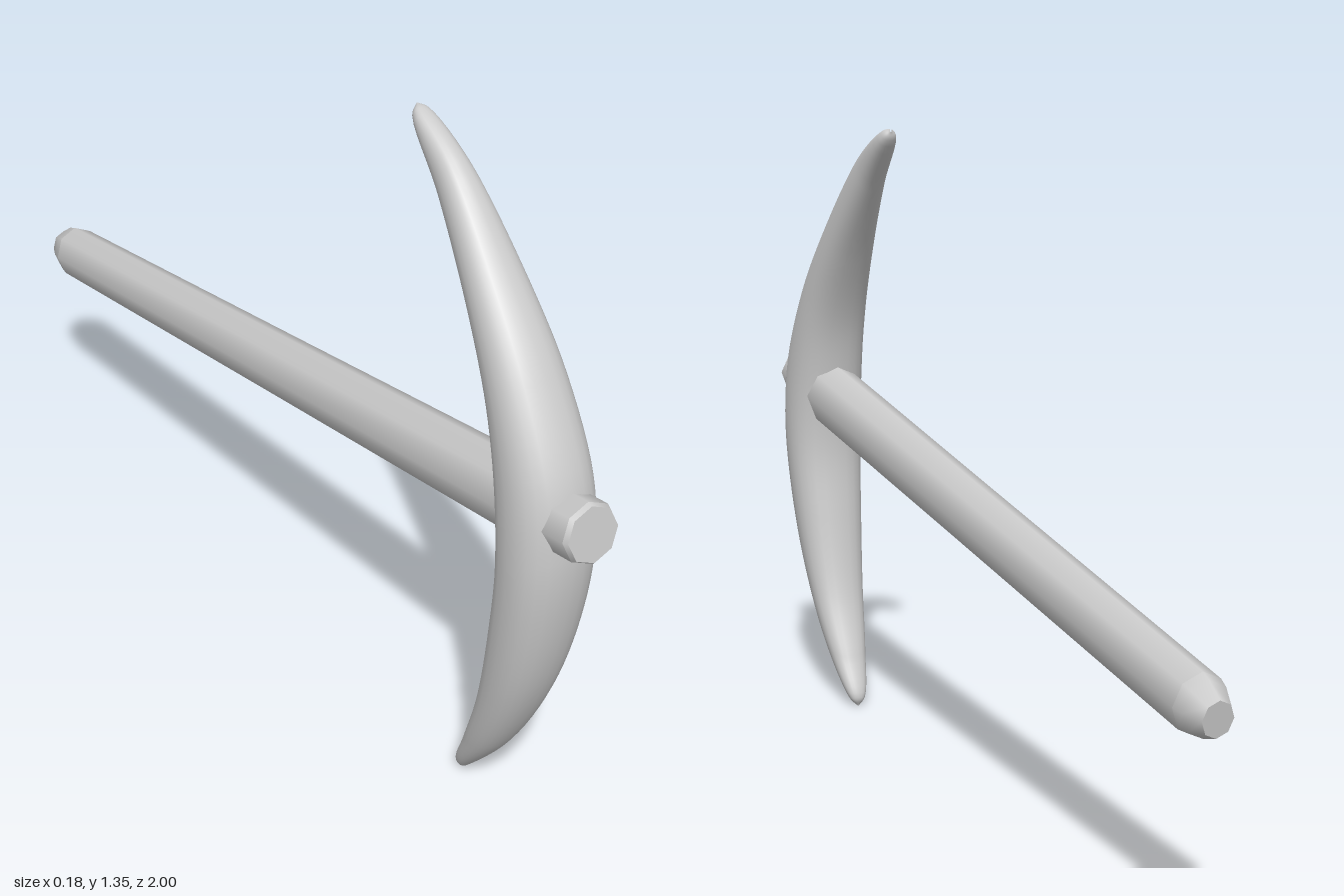
import * as THREE from 'three';
import { ParametricGeometry } from 'three/addons/geometries/ParametricGeometry.js';

const material = new THREE.MeshStandardMaterial({ color: 0xcccccc });
const TILT = 0.16;

// Octagonal turned part laid along the handle axis; repeated points keep a crease
function turned(name, profile, widthScale = 1) {
  const geometry = new THREE.LatheGeometry(profile.map(([r, y]) => new THREE.Vector2(r, y)), 8);
  geometry.scale(widthScale, 1, 1);
  geometry.rotateX(Math.PI / 2 - TILT);
  geometry.translate(0, 0.591, 0);
  const mesh = new THREE.Mesh(geometry, material);
  mesh.name = name;
  return mesh;
}

// Curved double-pointed head: [half width, outer y, outer z, inner y, inner z] from top to bottom
function pickHead() {
  const stations = [
    [0.002, 1.353, 0.435, 1.347, 0.433],
    [0.017, 1.351, 0.455, 1.328, 0.438],
    [0.035, 1.294, 0.567, 1.21, 0.54],
    [0.06, 1.128, 0.727, 1.037, 0.663],
    [0.076, 0.985, 0.838, 0.888, 0.738],
    [0.086, 0.807, 0.93, 0.754, 0.77],
    [0.088, 0.674, 0.947, 0.594, 0.786],
    [0.081, 0.513, 0.93, 0.433, 0.77],
    [0.065, 0.326, 0.877, 0.246, 0.733],
    [0.044, 0.139, 0.78, 0.112, 0.684],
    [0.018, 0.016, 0.677, 0.022, 0.648],
    [0.002, 0.001, 0.66, 0.001, 0.656],
  ];
  const outer = new THREE.CatmullRomCurve3(stations.map(([w, y, z]) => new THREE.Vector3(w, y, z)));
  const inner = new THREE.CatmullRomCurve3(stations.map(([w, , , y, z]) => new THREE.Vector3(w, y, z)));
  const o = new THREE.Vector3(), i = new THREE.Vector3();
  const round = (t) => Math.sign(t) * Math.abs(t) ** 0.88;

  const geometry = new ParametricGeometry((u, v, target) => {
    outer.getPoint(v, o);
    inner.getPoint(v, i);
    const c = round(Math.cos(u * Math.PI * 2));
    const s = round(Math.sin(u * Math.PI * 2));
    target.set(
      ((o.x + i.x) / 2) * c,
      (o.y + i.y) / 2 + ((o.y - i.y) / 2) * s,
      (o.z + i.z) / 2 + ((o.z - i.z) / 2) * s
    );
  }, 24, 66);
  const mesh = new THREE.Mesh(geometry, material);
  mesh.name = 'pickHead';
  return mesh;
}

export function createModel() {
  const group = new THREE.Group();
  group.name = 'pickaxe';
  // Slightly oval shaft, tapering to a bevelled rear end
  group.add(turned('handle', [
    [0, -1.005], [0.036, -1.005], [0.036, -1.005], [0.055, -0.965], [0.061, -0.94],
    [0.061, -0.94], [0.067, 0], [0.073, 0.8], [0.073, 0.86], [0.073, 0.86], [0, 0.86],
  ], 0.88));
  // Handle end poking out of the front of the head
  group.add(turned('handleEnd', [
    [0.06, 0.8], [0.06, 0.995], [0.06, 0.995], [0.055, 1.005], [0.055, 1.005], [0, 1.005],
  ]));
  group.add(pickHead());
  return group;
}
